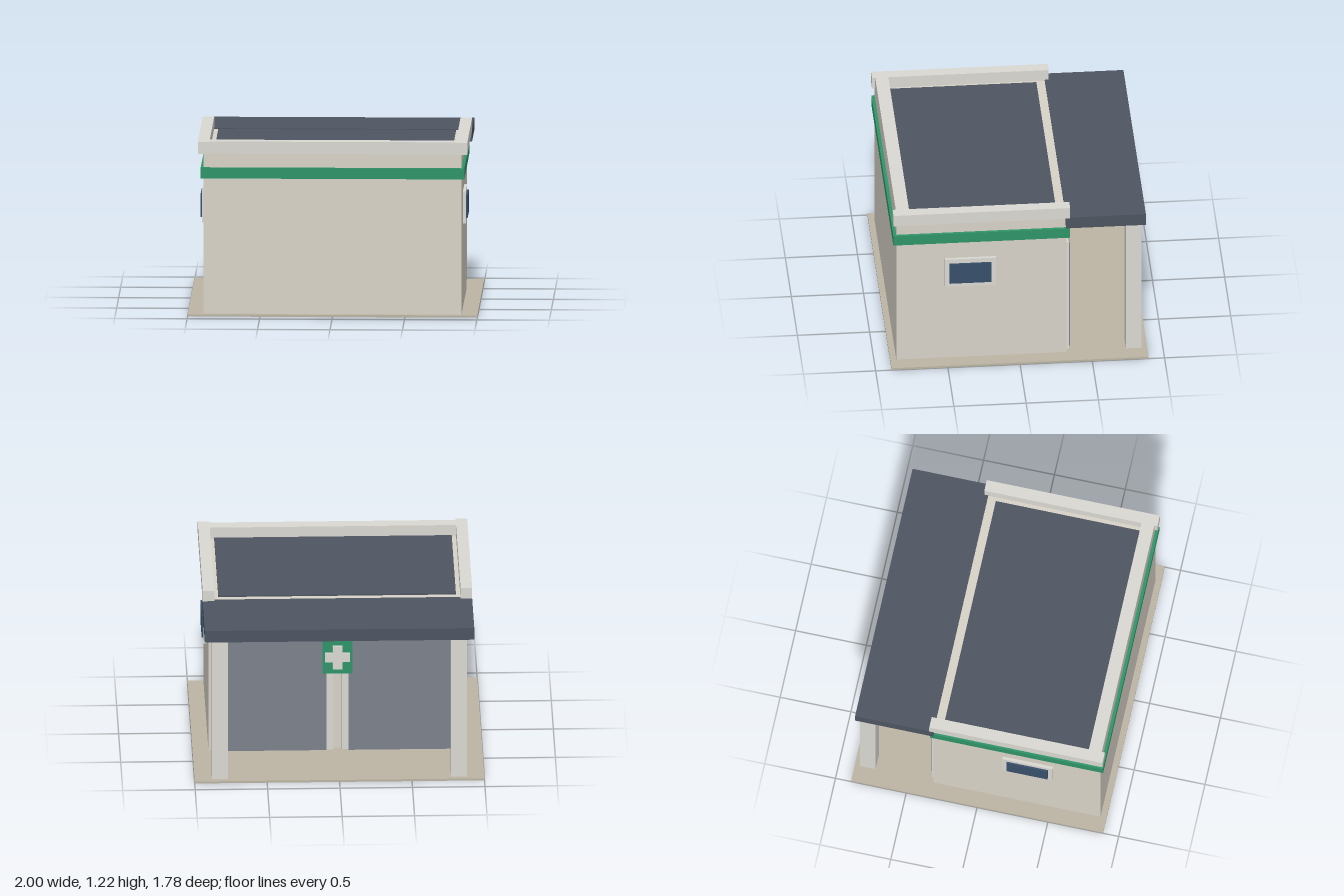
import * as THREE from 'three';

const COLORS = {
  wall: 0xd8d3c8, trim: 0xdad8d2, green: 0x2f9468, roof: 0x4e5561,
  slab: 0xbcb5a4, glass: 0x37506a, door: 0x7d838c,
};

export function createModel() {
  const model = new THREE.Group();
  model.name = 'garage';
  const mats = {};
  for (const [key, color] of Object.entries(COLORS)) {
    mats[key] = new THREE.MeshStandardMaterial({ color });
  }

  // Box given by its extents along each axis
  const box = (name, mat, [x0, x1], [y0, y1], [z0, z1]) => {
    const mesh = new THREE.Mesh(new THREE.BoxGeometry(x1 - x0, y1 - y0, z1 - z0), mats[mat]);
    mesh.position.set((x0 + x1) / 2, (y0 + y1) / 2, (z0 + z1) / 2);
    mesh.name = name;
    model.add(mesh);
    return mesh;
  };
  // The same box on both sides of x = 0
  const pair = (name, mat, [x0, x1], y, z) => {
    box(name + 'Left', mat, [x0, x1], y, z);
    box(name + 'Right', mat, [-x1, -x0], y, z);
  };

  // Ground slab and main body
  box('groundSlab', 'slab', [-1, 1], [0, 0.015], [-0.89, 0.89]);
  box('walls', 'wall', [-0.89, 0.89], [0.01, 1.13], [-0.33, 0.848]);
  box('greenBand', 'green', [-0.91, 0.91], [0.96, 1.035], [-0.353, 0.87]);

  // Flat roof with a parapet on three sides
  box('roofPanel', 'roof', [-0.82, 0.82], [1.12, 1.14], [-0.265, 0.77]);
  box('frontParapet', 'trim', [-0.85, 0.85], [1.13, 1.215], [0.757, 0.848]);
  pair('sideParapet', 'trim', [0.85, 0.93], [1.13, 1.215], [-0.353, 0.87]);

  // Canopy on two posts
  box('canopy', 'roof', [-0.93, 0.93], [1.05, 1.137], [-0.877, -0.325]);
  pair('canopyPost', 'trim', [0.77, 0.88], [0.01, 1.055], [-0.852, -0.743]);

  // Garage doors in their frames
  pair('doorFrame', 'trim', [0.03, 0.855], [0.01, 0.89], [-0.35, -0.32]);
  pair('garageDoor', 'door', [0.075, 0.81], [0.002, 0.845], [-0.362, -0.32]);

  // Sign with a cross between the doors
  box('signBoard', 'green', [-0.105, 0.105], [0.59, 0.84], [-0.368, -0.32]);
  const cross = new THREE.Shape();
  const a = 0.033, b = 0.086;
  [[a, b], [-a, b], [-a, a], [-b, a], [-b, -a], [-a, -a],
    [-a, -b], [a, -b], [a, -a], [b, -a], [b, a], [a, a]]
    .forEach(([x, y], i) => (i ? cross.lineTo(x, y) : cross.moveTo(x, y)));
  const crossMesh = new THREE.Mesh(
    new THREE.ExtrudeGeometry(cross, { depth: 0.025, bevelEnabled: false }), mats.trim);
  crossMesh.position.set(0, 0.715, -0.385);
  crossMesh.name = 'signCross';
  model.add(crossMesh);

  // Side windows
  pair('windowFrame', 'trim', [0.88, 0.91], [0.602, 0.825], [0.158, 0.513]);
  pair('windowGlass', 'glass', [0.88, 0.922], [0.635, 0.792], [0.19, 0.48]);

  return model;
}
